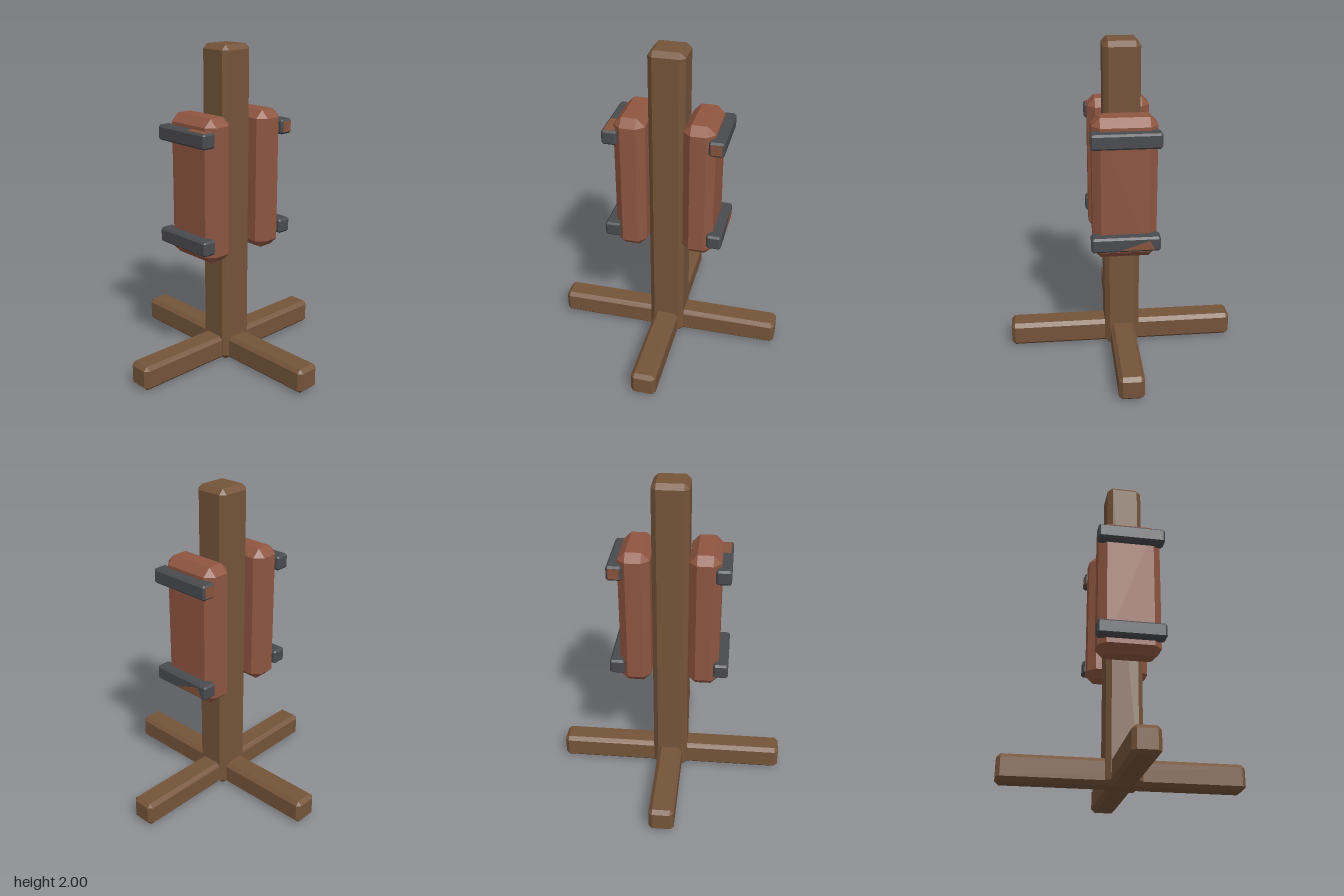
import * as THREE from 'three';
import { ConvexGeometry } from 'three/addons/geometries/ConvexGeometry.js';

const mat = (name, color) => {
  const m = new THREE.MeshStandardMaterial({ color });
  m.name = name;
  return m;
};

// Box of the given full size with every edge and corner bevelled by c
function bevelBox(w, h, d, c) {
  const half = [w / 2, h / 2, d / 2];
  const points = [];
  for (const sx of [-1, 1]) for (const sy of [-1, 1]) for (const sz of [-1, 1]) {
    const s = [sx, sy, sz];
    for (let axis = 0; axis < 3; axis++) {
      points.push(new THREE.Vector3(...half.map((v, i) => s[i] * (i === axis ? v : v - c))));
    }
  }
  return new ConvexGeometry(points);
}

export function createModel() {
  const wood = mat('brown wood', 0x75543a);
  const padding = mat('red leather', 0x8f5641);
  const iron = mat('dark iron', 0x4a4b4f);
  const rust = mat('rust', 0x87543c);
  const root = new THREE.Group();
  root.name = 'trainingPost';

  const add = (name, geometry, material, x, y, z) => {
    const mesh = new THREE.Mesh(geometry, material);
    mesh.name = name;
    mesh.position.set(x, y, z);
    root.add(mesh);
    return mesh;
  };

  // Upright post and crossed feet
  add('post', bevelBox(0.22, 2, 0.22, 0.03), wood, 0, 1, 0);
  add('sideFoot', bevelBox(1.44, 0.155, 0.155, 0.023), wood, 0, 0.083, 0);
  add('frontFoot', bevelBox(0.155, 0.155, 1.44, 0.023), wood, 0, 0.083, 0);

  // Padded side panels, each with two straps
  for (const [side, s] of [['left', 1], ['right', -1]]) {
    add(side + 'Pad', bevelBox(0.19, 0.876, 0.384, 0.048), padding, s * 0.208, 1.165, 0);
    for (const [level, y] of [['Upper', 1.49], ['Lower', 0.85]]) {
      add(side + level + 'Strap', bevelBox(0.092, 0.092, 0.412, 0.012), iron, s * 0.317, y, 0);
    }
  }

  // Rust patches as thin plates
  for (const z of [0.2055, -0.2055]) {
    add('strapEndRust', new THREE.BoxGeometry(0.066, 0.066, 0.003), rust, 0.317, 1.49, z);
  }
  add('strapTopRust', new THREE.BoxGeometry(0.066, 0.003, 0.15), rust, -0.317, 1.5355, 0.118);
  const wedge = new THREE.Shape([
    new THREE.Vector2(-0.17, -0.032), new THREE.Vector2(0.03, -0.032),
    new THREE.Vector2(-0.14, 0.025)
  ].map(p => new THREE.Vector2(-p.x, p.y)));
  const outer = add('strapSideRust',
    new THREE.ExtrudeGeometry(wedge, { depth: 0.003, bevelEnabled: false }),
    rust, 0.3615, 0.85, 0);
  outer.rotation.y = Math.PI / 2;
  return root;
}
